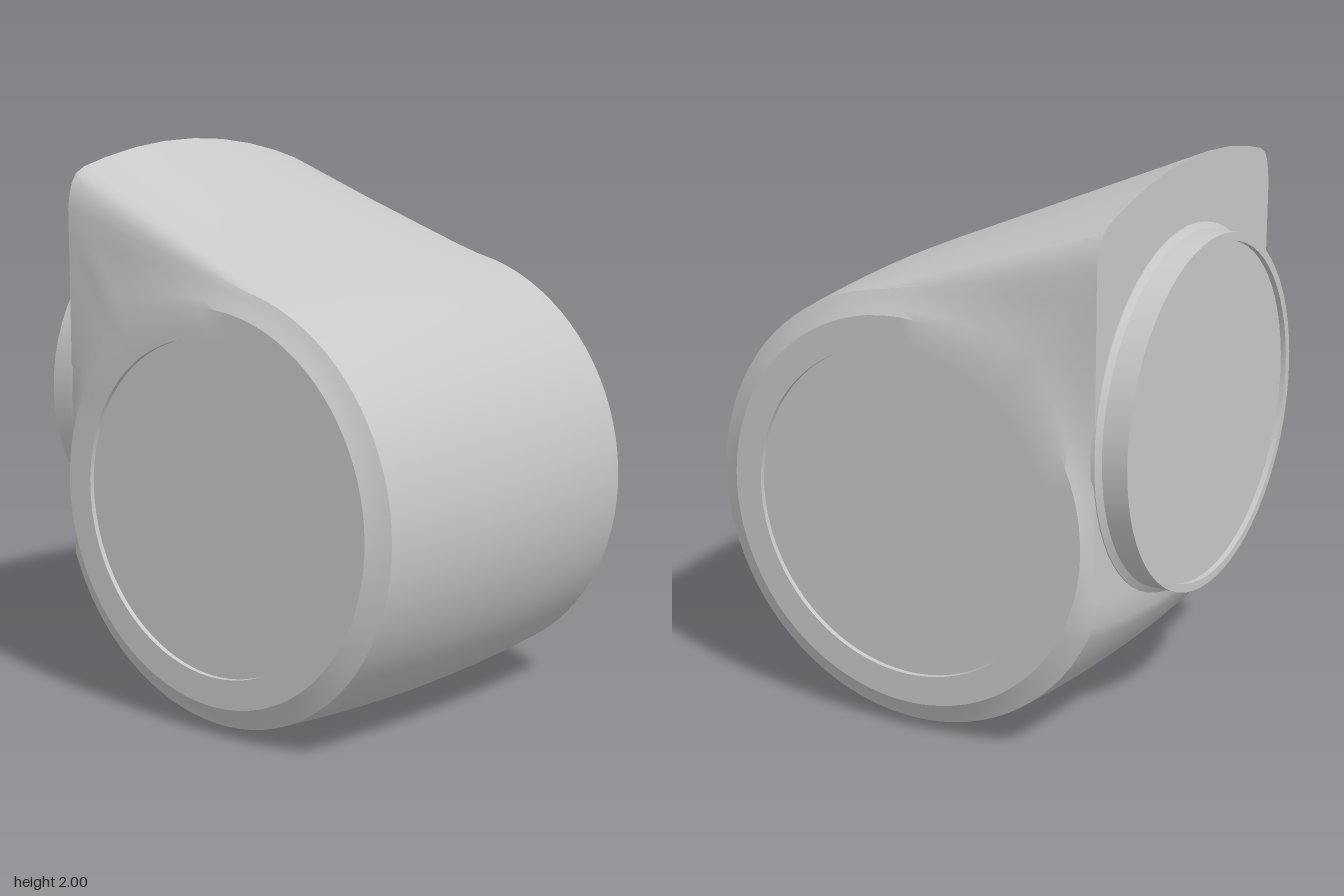
import * as THREE from 'three';
import { toCreasedNormals } from 'three/addons/utils/BufferGeometryUtils.js';

const CY = 0.808, CZ = 0.015;   // centre of the round part of the housing
const BACK = -0.71;             // plane of the flat back
const SIDE = 0.685, EDGE = 0.64, DISC = 0.593;

// Teardrop cross-section [z, y] at a given x: flat back, sloping top, round front
function profile(x, drop) {
  const r = 0.808 - 0.03 * (x / EDGE) ** 2;
  const top = 2 - 0.28 * (x + 0.07) ** 2 - drop;
  const dz = BACK - CZ, dy = top - CY;
  const a0 = Math.atan2(dy, dz) - Math.acos(r / Math.hypot(dz, dy));
  const a1 = -Math.acos(dz / r);
  const at = (a) => [CZ + r * Math.cos(a), CY + r * Math.sin(a)];
  const low = at(a1), tangent = at(a0), pts = [];
  for (let i = 0; i < 16; i++) pts.push([BACK, THREE.MathUtils.lerp(low[1], top, i / 16)]);
  for (let i = 0; i < 12; i++) {
    pts.push([
      THREE.MathUtils.lerp(BACK, tangent[0], i / 12),
      THREE.MathUtils.lerp(top, tangent[1], i / 12),
    ]);
  }
  for (let i = 0; i < 56; i++) pts.push(at(a0 + (a1 - a0) * i / 56));
  return pts;
}

// Rings of one side, from the outer edge inwards to the recess wall
function sideRings(s, edge) {
  const circle = (r) => edge.map(([z, y]) => {
    const a = Math.atan2(y - CY, z - CZ);
    return [CZ + r * Math.cos(a), CY + r * Math.sin(a)];
  });
  const flat = circle(0.7);
  const blend = (t) => edge.map(([z, y], j) => {
    const [fz, fy] = flat[j];
    const reach = Math.hypot(z - fz, y - fy);
    const sag = Math.min(reach, 0.4) * 0.12 * t * (1 - t);
    return [
      s * (THREE.MathUtils.lerp(SIDE, EDGE, t) - sag),
      THREE.MathUtils.lerp(fy, y, t),
      THREE.MathUtils.lerp(fz, z, t),
    ];
  });
  const ring = (r, x) => circle(r).map(([z, y]) => [s * x, y, z]);
  return [blend(0.75), blend(0.5), blend(0.25), blend(0), ring(DISC, SIDE), ring(DISC, SIDE - 0.02)];
}

function housingGeometry() {
  // Stations across the width; the top corner drops away close to each side
  const ends = [[0.56, 0], [0.6, 0.01], [0.62, 0.035], [0.632, 0.07], [EDGE, 0.12]];
  const stations = [
    ...ends.map(([x, d]) => [-x, d]).reverse(),
    ...[-0.45, -0.3, -0.15, 0, 0.15, 0.3, 0.45].map((x) => [x, 0]),
    ...ends,
  ];
  const outlines = stations.map(([x, d]) => profile(x, d));
  const rings = [
    ...sideRings(-1, outlines[0]).reverse(),
    ...outlines.map((o, i) => o.map(([z, y]) => [stations[i][0], y, z])),
    ...sideRings(1, outlines[outlines.length - 1]),
  ];
  const n = rings[0].length, index = [];
  for (let i = 0; i < rings.length - 1; i++) {
    for (let j = 0; j < n; j++) {
      const k = (j + 1) % n;
      const a = i * n + j, b = i * n + k, c = a + n, d = b + n;
      index.push(a, b, c, b, d, c);
    }
  }
  const geo = new THREE.BufferGeometry();
  geo.setAttribute('position', new THREE.Float32BufferAttribute(rings.flat(2), 3));
  geo.setIndex(index);
  return toCreasedNormals(geo, 0.5);
}

export function createModel() {
  const group = new THREE.Group();
  const grey = new THREE.MeshStandardMaterial({ color: 0xc8c8c8 });
  grey.name = 'light grey';

  const add = (name, geo) => {
    const mesh = new THREE.Mesh(geo, grey);
    mesh.name = name;
    group.add(mesh);
    return mesh;
  };

  add('housing', housingGeometry());

  // Recessed round covers on both sides
  for (const [name, s] of [['leftCover', 1], ['rightCover', -1]]) {
    const cover = add(name, new THREE.CircleGeometry(DISC + 0.005, 64));
    cover.rotation.y = s * Math.PI / 2;
    cover.position.set(s * (SIDE - 0.018), CY, CZ);
  }

  // Round collar on the back with a recessed face
  const collar = new THREE.LatheGeometry([
    [0.65, 0.7], [0.65, 0.714], [0.628, 0.73], [0.628, 0.823],
    [0.598, 0.823], [0.598, 0.803], [0, 0.803],
  ].map(([r, h]) => new THREE.Vector2(r, h)), 64);
  collar.rotateX(-Math.PI / 2);
  add('backCollar', toCreasedNormals(collar, 0.5)).position.y = 1.118;

  return group;
}
